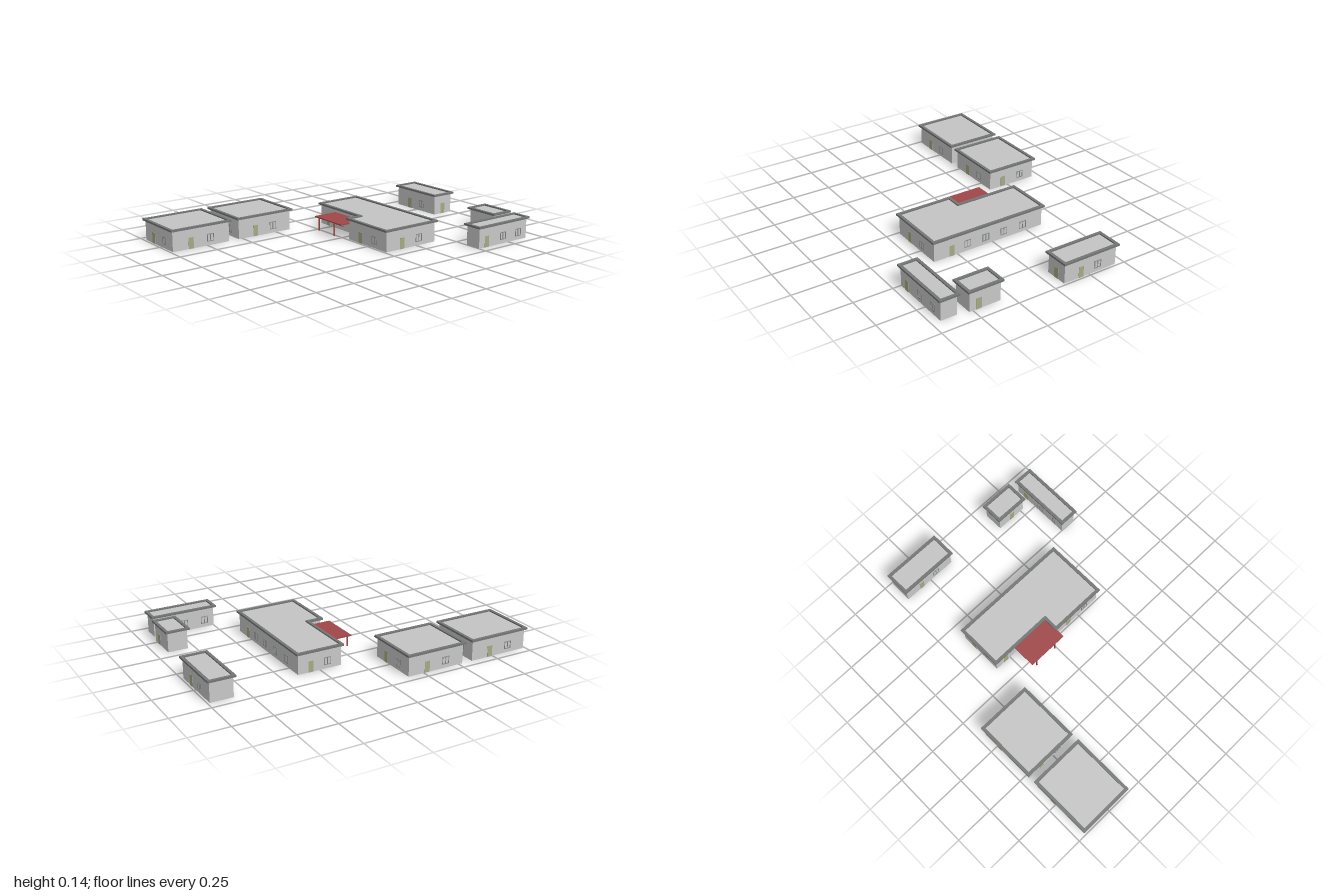
import * as THREE from 'three';

const mat = (name, color, side = THREE.FrontSide) => {
  const m = new THREE.MeshStandardMaterial({ color, side });
  m.name = name;
  return m;
};

const WALL_H = 0.125, TOP = 0.137, INSET = 0.014;

export function createModel() {
  const model = new THREE.Group();
  model.name = 'buildingComplex';
  const wallMat = mat('wall grey', 0xc8c8c8, THREE.DoubleSide);
  const roofMat = mat('roof grey', 0xc4c4c4);
  const rimMat = mat('rim grey', 0x747676);
  const frameMat = mat('frame grey', 0x8c8e8e);
  const doorMat = mat('door olive', 0xa6aa84);
  const redMat = mat('canopy red', 0xa04648);

  const add = (parent, name, geo, material, x = 0, y = 0, z = 0) => {
    const m = new THREE.Mesh(geo, material);
    m.name = name;
    m.position.set(x, y, z);
    parent.add(m);
    return m;
  };

  // Right-angled outline [x, z] moved inward; corners run +x first along the front
  const inset = (pts, d) => pts.map((p, i) => {
    const a = pts[(i + pts.length - 1) % pts.length], b = pts[(i + 1) % pts.length];
    const n = (u, v) => [Math.sign(v[1] - u[1]), -Math.sign(v[0] - u[0])];
    const n1 = n(a, p), n2 = n(p, b);
    return [p[0] + d * (n1[0] + n2[0]), p[1] + d * (n1[1] + n2[1])];
  });
  const toShape = (pts) => new THREE.Shape(pts.map(([x, z]) => new THREE.Vector2(x, -z)));
  const slab = (shape, depth) =>
    new THREE.ExtrudeGeometry(shape, { depth, bevelEnabled: false }).rotateX(-Math.PI / 2);

  // Door leaf, visible on both sides of the wall
  const door = (parent) =>
    add(parent, 'doorLeaf', new THREE.BoxGeometry(0.034, 0.07, 0.004), doorMat, 0, 0.035, 0);

  // Window frame with a centre bar
  const windowFrame = (parent) => {
    const w = 0.047, h = 0.048, t = 0.004, y = 0.048;
    for (const x of [-w / 2 + t / 2, 0, w / 2 - t / 2])
      add(parent, 'windowPost', new THREE.BoxGeometry(t, h, 0.006), frameMat, x, y, 0);
    for (const s of [-1, 1])
      add(parent, 'windowRail', new THREE.BoxGeometry(w, t, 0.006), frameMat, 0, y + s * (h - t) / 2, 0);
  };

  // side: axis the wall faces; at: wall plane; doors and windows: places along the wall
  const openings = (parent, side, at, doors, windows) => {
    const put = (name, make, c) => {
      const g = new THREE.Group();
      g.name = name;
      if (side === 'z') g.position.set(c, 0, at);
      else { g.position.set(at, 0, c); g.rotation.y = Math.PI / 2; }
      make(g);
      parent.add(g);
    };
    doors.forEach((c) => put('door', door, c));
    windows.forEach((c) => put('window', windowFrame, c));
  };

  // Open-bottomed walls, recessed flat roof and overhanging rim
  const building = (name, outline, walls) => {
    const g = new THREE.Group();
    g.name = name;
    const foot = inset(outline, INSET);
    foot.forEach((p, i) => {
      const q = foot[(i + 1) % foot.length];
      const len = Math.hypot(q[0] - p[0], q[1] - p[1]);
      const wall = add(g, 'wall', new THREE.PlaneGeometry(len, WALL_H), wallMat,
        (p[0] + q[0]) / 2, WALL_H / 2, (p[1] + q[1]) / 2);
      wall.rotation.y = -Math.atan2(q[1] - p[1], q[0] - p[0]);
    });
    add(g, 'roof', slab(toShape(inset(outline, INSET - 0.001)), 0.007), roofMat, 0, 0.122, 0);
    const ring = toShape(outline);
    ring.holes.push(toShape(inset(outline, 0.019)));
    add(g, 'roofRim', slab(ring, TOP - WALL_H), rimMat, 0, WALL_H, 0);
    walls.forEach((w) => openings(g, ...w));
    model.add(g);
  };

  const rect = (x0, x1, z0, z1) => [[x0, z1], [x1, z1], [x1, z0], [x0, z0]];
  const i = INSET;

  // Main L-shaped hall
  building('mainHall', [[-0.375, -0.095], [0.043, -0.095], [0.043, 0.002], [0.427, 0.002], [0.427, -0.41], [-0.375, -0.41]], [
    ['z', -0.095 - i, [-0.283], [-0.148, -0.017]],
    ['z', 0.002 - i, [0.168], [0.303]],
    ['x', 0.427 - i, [-0.135], [-0.267]],
    ['z', -0.41 + i, [0.29], [0.18, 0.05, -0.08, -0.22]],
    ['x', -0.375 + i, [-0.31], [-0.2]],
  ]);

  // Two matching side blocks
  for (const [z0, z1, d, w] of [[0.13, 0.54, 0.403, 0.273], [0.583, 1, 0.862, 0.728]])
    building('sideBlock', rect(-0.713, -0.348, z0, z1), [
      ['z', z1 - i, [-0.597], [-0.463]],
      ['x', -0.348 - i, [d], [w]],
      ['z', z0 + i, [-0.463], [-0.597]],
      ['x', -0.713 + i, [w], [d]],
    ]);

  // Rear hall
  building('rearHall', rect(-0.455, -0.057, -1, -0.827), [
    ['z', -0.827 - i, [-0.32], [-0.2]],
    ['z', -1 + i, [-0.19], [-0.31]],
    ['x', -0.057 - i, [-0.913], []],
  ]);

  // Small hut
  building('smallHut', rect(0.305, 0.538, -0.935, -0.78), [
    ['z', -0.78 - i, [0.425], []],
    ['z', -0.935 + i, [0.46], []],
  ]);

  // Long narrow block
  building('narrowBlock', rect(0.578, 0.71, -0.918, -0.485), [
    ['x', 0.71 - i, [-0.563], [-0.7, -0.832]],
    ['x', 0.578 + i, [-0.832], [-0.7, -0.563]],
  ]);

  // Entrance canopy on two posts
  const canopy = new THREE.Group();
  canopy.name = 'entranceCanopy';
  add(canopy, 'canopyRoof', new THREE.BoxGeometry(0.267, 0.007, 0.163), redMat, -0.077, 0.101, -0.028);
  for (const x of [-0.17, -0.015])
    add(canopy, 'canopyPost', new THREE.BoxGeometry(0.008, 0.08, 0.006), redMat, x, 0.058, 0.05);
  model.add(canopy);

  return model;
}
